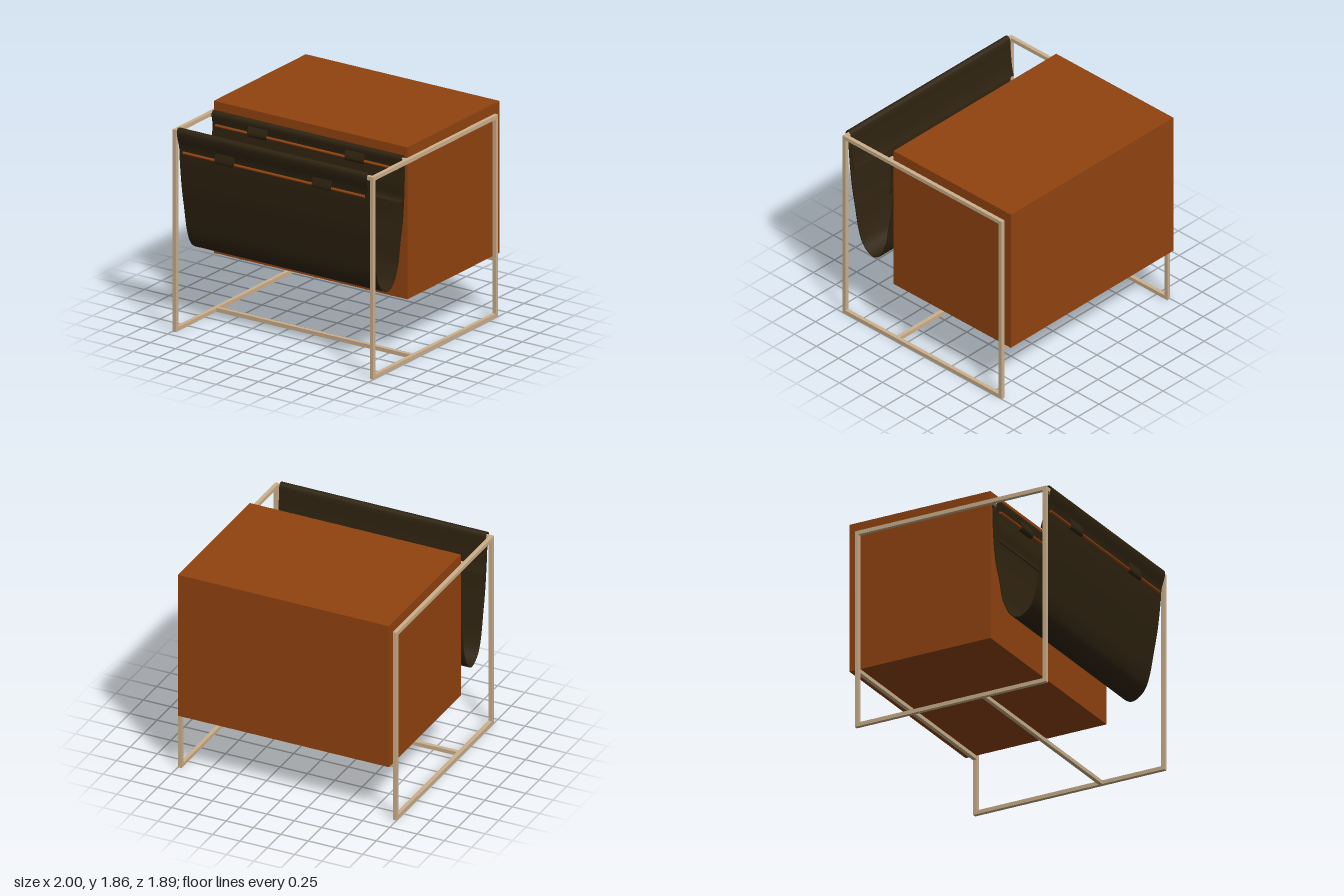
import * as THREE from 'three';
import { toCreasedNormals } from 'three/addons/utils/BufferGeometryUtils.js';

export function createModel() {
  const model = new THREE.Group();
  model.name = 'sideTable';
  const wood = new THREE.MeshStandardMaterial({ name: 'brownWood', color: 0x924310 });
  const metal = new THREE.MeshStandardMaterial({ name: 'paleFrame', color: 0xccb08c });
  const leather = new THREE.MeshStandardMaterial({ name: 'darkLeather', color: 0x2f2310 });

  const add = (name, geometry, material, x = 0, y = 0, z = 0) => {
    const mesh = new THREE.Mesh(geometry, material);
    mesh.name = name;
    mesh.position.set(x, y, z);
    model.add(mesh);
    return mesh;
  };
  // Box given by its limits on each axis
  const block = (name, material, [x0, x1], [y0, y1], [z0, z1]) =>
    add(name, new THREE.BoxGeometry(x1 - x0, y1 - y0, z1 - z0), material,
      (x0 + x1) / 2, (y0 + y1) / 2, (z0 + z1) / 2);
  // Sheet of even thickness following [z, y] points, spread along x
  const sheet = (name, points, width, x, thickness, divisions) => {
    const curve = new THREE.SplineCurve(points.map(([z, y]) => new THREE.Vector2(-z, y)));
    const outer = [], inner = [];
    for (let i = 0; i <= divisions; i++) {
      const p = curve.getPoint(i / divisions), t = curve.getTangent(i / divisions);
      const n = new THREE.Vector2(-t.y, t.x).multiplyScalar(thickness / 2);
      outer.push(p.clone().add(n));
      inner.push(p.clone().sub(n));
    }
    const shape = new THREE.Shape([...outer, ...inner.reverse()]);
    const geometry = new THREE.ExtrudeGeometry(shape, { depth: width, bevelEnabled: false });
    geometry.translate(0, 0, -width / 2).rotateY(Math.PI / 2);
    return add(name, toCreasedNormals(geometry, 0.7), leather, x);
  };

  // Cabinet
  block('cabinet', wood, [-0.965, 0.965], [0.53, 1.86], [-0.945, 0.385]);

  // Two rectangular side frames
  const T = 0.034, H = 1.77, F = 0.93, B = -0.875;
  for (const [side, x] of [['left', [1 - T, 1]], ['right', [-1, -1 + T]]]) {
    block(side + 'FrontLeg', metal, x, [0, H], [F - T, F]);
    block(side + 'BackLeg', metal, x, [0, H], [B, B + T]);
    block(side + 'TopRail', metal, x, [H - T, H], [B + T, F - T]);
    block(side + 'FloorRail', metal, x, [0, T], [B + T, F - T]);
  }
  // Cross bars between the frames
  const span = [-1 + T, 1 - T];
  block('floorCrossBar', metal, span, [0, T], [0.31, 0.344]);
  block('backCrossBar', metal, span, [0.495, 0.529], [B, B + T]);
  block('frontSlingRod', metal, span, [H - T, H], [F - T, F]);
  block('innerSlingRod', metal, span, [H - T, H], [0.4, 0.434]);

  // Hanging magazine sling, folded over both rods
  sheet('magazineSling', [
    [0.85, 1.43], [0.87, 1.51], [0.885, 1.66], [0.891, 1.76], [0.915, 1.79], [0.942, 1.772],
    [0.938, 1.72], [0.91, 1.62], [0.9, 1.49], [0.873, 1.26], [0.84, 1.08], [0.797, 0.86],
    [0.742, 0.735], [0.645, 0.674], [0.56, 0.715], [0.504, 0.825], [0.482, 0.9], [0.458, 1.05],
    [0.423, 1.23], [0.403, 1.46], [0.395, 1.71], [0.394, 1.77], [0.418, 1.79], [0.441, 1.765],
    [0.428, 1.67], [0.438, 1.54], [0.433, 1.43], [0.458, 1.39],
  ], 1.89, 0, 0.009, 160);

  // Wooden dowels, each held by two leather tabs
  const dowels = [
    ['front', 1.58, 0.916, [[0.914, 1.66], [0.924, 1.62], [0.931, 1.585], [0.926, 1.562], [0.905, 1.558]]],
    ['inner', 1.675, 0.444, [[0.436, 1.745], [0.453, 1.71], [0.461, 1.675], [0.45, 1.652], [0.428, 1.648]]],
  ];
  for (const [place, y, z, tab] of dowels) {
    add(place + 'Dowel', new THREE.CylinderGeometry(0.012, 0.012, 1.81, 16), wood, 0, y, z)
      .rotation.z = Math.PI / 2;
    for (const x of [-0.485, 0.485]) sheet(place + 'DowelTab', tab, 0.19, x, 0.006, 16);
  }
  return model;
}
